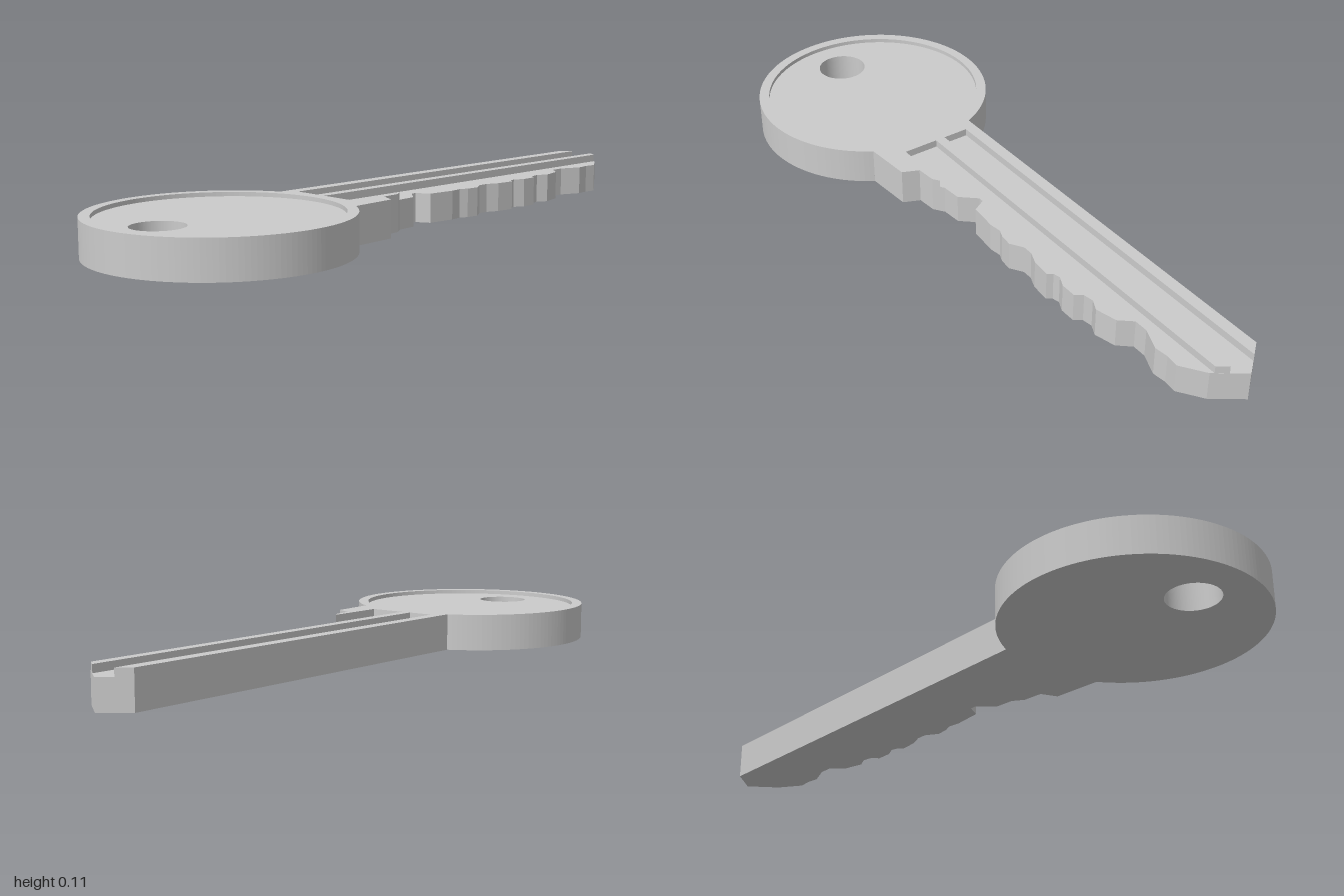
import * as THREE from 'three';

const HEAD_Z = 0.643, HEAD_R = 0.357, RECESS_R = 0.327;
const FLOOR = 0.085, TOP = 0.107, RECESS_Y = 0.095;

// Cut edge of the blade as [x, z], from the tip back to the shoulder
const teeth = [
  [0.01, -0.94], [0.057, -0.873], [0.053, -0.835], [0.058, -0.794], [0.032, -0.73], [0.032, -0.688],
  [0.069, -0.656], [0.085, -0.593], [0.069, -0.56], [0.074, -0.53], [0.095, -0.513], [0.095, -0.466],
  [0.08, -0.434], [0.085, -0.413], [0.1, -0.402], [0.095, -0.344], [0.08, -0.307], [0.08, -0.275],
  [0.104, -0.238], [0.1, -0.2], [0.09, -0.175], [0.095, -0.138], [0.087, -0.053], [0.048, -0.032],
  [0.048, -0.016], [0.095, 0.026], [0.1, 0.085],
];
const shoulder = [[0.122, 0.116], [0.127, 0.175], [0.175, 0.196], [0.185, 0.338]];

// Blade points, then round the head back to the start
function keyShape(points) {
  const shape = new THREE.Shape();
  points.forEach(([x, z], i) => (i ? shape.lineTo(x, -z) : shape.moveTo(x, -z)));
  const [rx, rz] = points[points.length - 1];
  const [lx] = points[0];
  const lz = HEAD_Z - Math.sqrt(HEAD_R ** 2 - lx ** 2);
  shape.absarc(0, -HEAD_Z, HEAD_R, Math.atan2(HEAD_Z - rz, rx), Math.atan2(HEAD_Z - lz, lx), true);
  shape.closePath();
  return shape;
}

function circle(PathType, z, r) {
  return new PathType().absarc(0, -z, r, 0, Math.PI * 2, false);
}

export function createModel() {
  const group = new THREE.Group();
  const material = new THREE.MeshStandardMaterial({ color: 0xcccccc });

  // Flat layer lying between two heights
  function layer(name, shape, y0, y1) {
    const geometry = new THREE.ExtrudeGeometry(shape, { depth: y1 - y0, bevelEnabled: false, curveSegments: 64 });
    geometry.rotateX(-Math.PI / 2).translate(0, y0, 0);
    const mesh = new THREE.Mesh(geometry, material);
    mesh.name = name;
    group.add(mesh);
  }

  // Full outline up to the groove floor, with the ring hole
  const body = keyShape([[-0.143, -0.94], [-0.072, -1], ...teeth, ...shoulder]);
  body.holes.push(circle(THREE.Path, 0.838, 0.073));
  layer('keyBody', body, 0, FLOOR);

  // Raised rim and blade ribs, leaving two grooves open at the tip
  const raised = keyShape([
    [-0.143, -0.94], [-0.108, -0.97], [-0.108, 0.28],
    [-0.03, 0.28], [-0.03, -0.969], [0, -0.947], [0, 0.28],
    [0.108, 0.28], [0.108, 0.096], ...shoulder,
  ]);
  raised.holes.push(circle(THREE.Path, HEAD_Z, RECESS_R));
  layer('rimAndRibs', raised, FLOOR, TOP);

  // Shallow sunken face of the head
  const face = circle(THREE.Shape, HEAD_Z, RECESS_R);
  face.holes.push(circle(THREE.Path, 0.838, 0.073));
  layer('headFace', face, FLOOR, RECESS_Y);

  return group;
}
